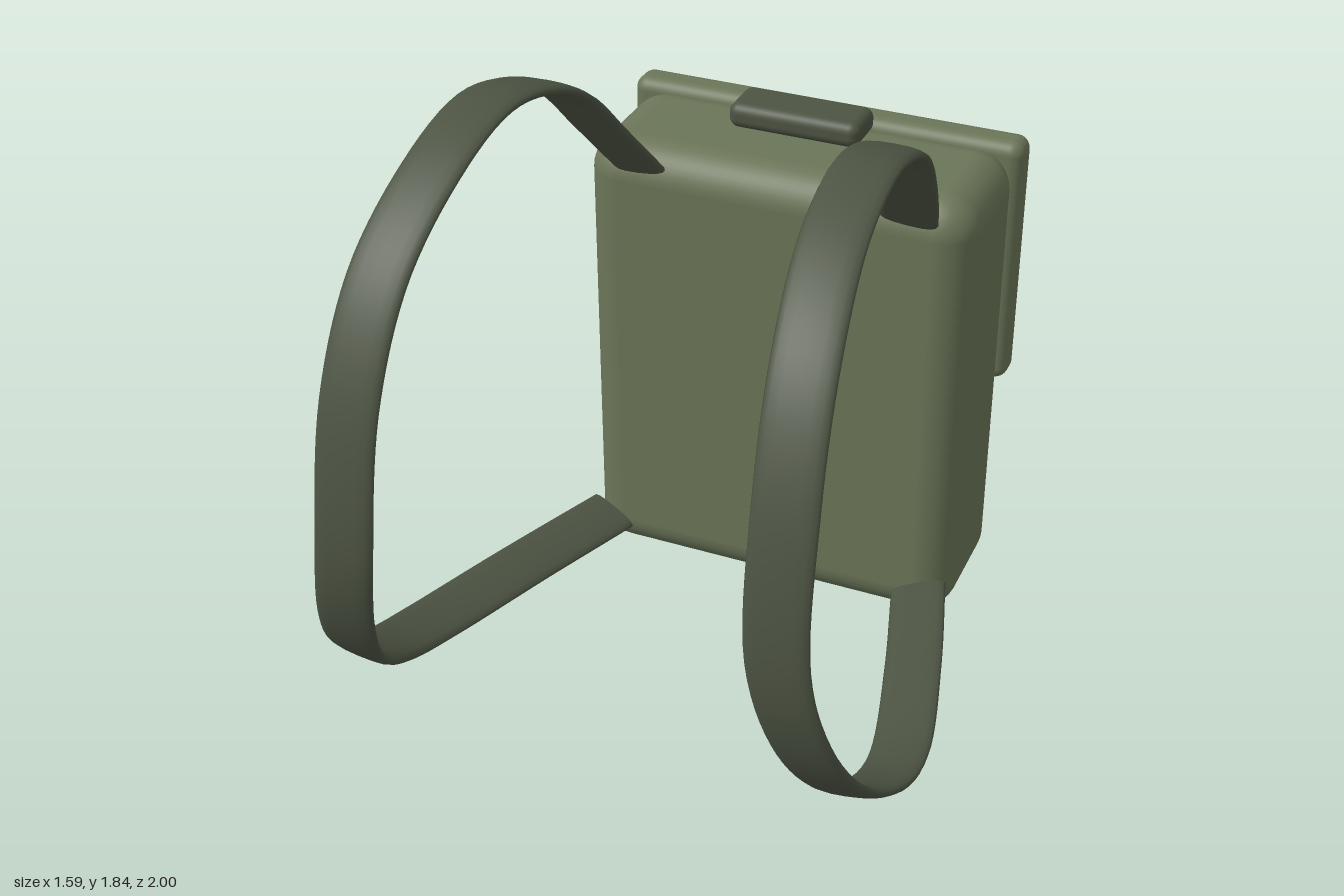
import * as THREE from 'three';
import { RoundedBoxGeometry } from 'three/addons/geometries/RoundedBoxGeometry.js';

const material = (name, color) => {
  const m = new THREE.MeshStandardMaterial({ color });
  m.name = name;
  return m;
};

// Rounded block given by its extents on each axis
function block(name, mat, [x0, x1], [y0, y1], [z0, z1], radius) {
  const geo = new RoundedBoxGeometry(x1 - x0, y1 - y0, z1 - z0, 5, radius);
  const mesh = new THREE.Mesh(geo, mat);
  mesh.name = name;
  mesh.position.set((x0 + x1) / 2, (y0 + y1) / 2, (z0 + z1) / 2);
  return mesh;
}

// Centre line of the left strap, from the top of the pack round to its base
const STRAP = [
  [0.4, 1.345, -0.41], [0.44, 1.53, -0.25], [0.465, 1.69, -0.1], [0.48, 1.78, 0.06],
  [0.495, 1.825, 0.28], [0.51, 1.76, 0.52], [0.54, 1.58, 0.76], [0.56, 1.3, 0.91],
  [0.575, 0.9, 0.98], [0.625, 0.63, 0.93], [0.68, 0.42, 0.8], [0.715, 0.28, 0.6],
  [0.705, 0.215, 0.4], [0.61, 0.172, 0], [0.5, 0.143, -0.38],
];

// Sweep a flat oval section along the path; side is 1 for left, -1 for right
function strapGeometry(side) {
  const curve = new THREE.CatmullRomCurve3(STRAP.map(([x, y, z]) => new THREE.Vector3(side * x, y, z)));
  const steps = 90, sides = 16, halfWidth = 0.083, halfThick = 0.018;
  const pos = [], index = [];
  const addRing = (t) => {
    const p = curve.getPointAt(t), tangent = curve.getTangentAt(t);
    // the lower run leans slightly, outer edge higher
    const lean = 0.3 * side * THREE.MathUtils.smoothstep(t, 0.55, 0.8);
    const w = new THREE.Vector3(1, lean, 0);
    w.addScaledVector(tangent, -w.dot(tangent)).normalize();
    const n = tangent.clone().cross(w);
    const start = pos.length / 3;
    for (let j = 0; j < sides; j++) {
      const a = (j / sides) * Math.PI * 2, c = Math.cos(a), s = Math.sin(a);
      const q = p.clone()
        .addScaledVector(w, halfWidth * Math.sign(c) * Math.abs(c) ** 0.8)
        .addScaledVector(n, halfThick * Math.sign(s) * Math.abs(s) ** 0.8);
      pos.push(q.x, q.y, q.z);
    }
    return start;
  };
  for (let i = 0; i <= steps; i++) addRing(i / steps);
  for (let i = 0; i < steps; i++) {
    for (let j = 0; j < sides; j++) {
      const a = i * sides + j, b = i * sides + ((j + 1) % sides);
      index.push(a, b, a + sides, b, b + sides, a + sides);
    }
  }
  // end caps on their own rings, so the ends stay crisp
  const first = addRing(0), last = addRing(1);
  for (let j = 1; j < sides - 1; j++) {
    index.push(first, first + j + 1, first + j, last, last + j, last + j + 1);
  }
  const geo = new THREE.BufferGeometry();
  geo.setAttribute('position', new THREE.Float32BufferAttribute(pos, 3));
  geo.setIndex(index);
  geo.computeVertexNormals();
  return geo;
}

export function createModel() {
  const canvas = material('olive canvas', 0x6b7558);
  const webbing = material('dark olive webbing', 0x4d5443);
  const leather = material('brown leather', 0x7a4d33);

  const group = new THREE.Group();
  group.name = 'backpack';

  group.add(
    block('body', canvas, [-0.58, 0.58], [0, 1.4], [-0.86, -0.4], 0.11),
    block('flap', canvas, [-0.6, 0.6], [0.64, 1.42], [-0.91, -0.8], 0.04),
    block('frontPocket', canvas, [-0.425, 0.425], [0.14, 0.64], [-1, -0.85], 0.055),
    block('closureTab', leather, [-0.09, 0.09], [0.6, 1.03], [-0.955, -0.895], 0.015),
    block('carryHandle', webbing, [-0.195, 0.195], [1.44, 1.515], [-0.71, -0.555], 0.03),
  );

  // shoulder straps
  for (const side of [1, -1]) {
    const strap = new THREE.Mesh(strapGeometry(side), webbing);
    strap.name = side > 0 ? 'leftStrap' : 'rightStrap';
    group.add(strap);
  }
  return group;
}
